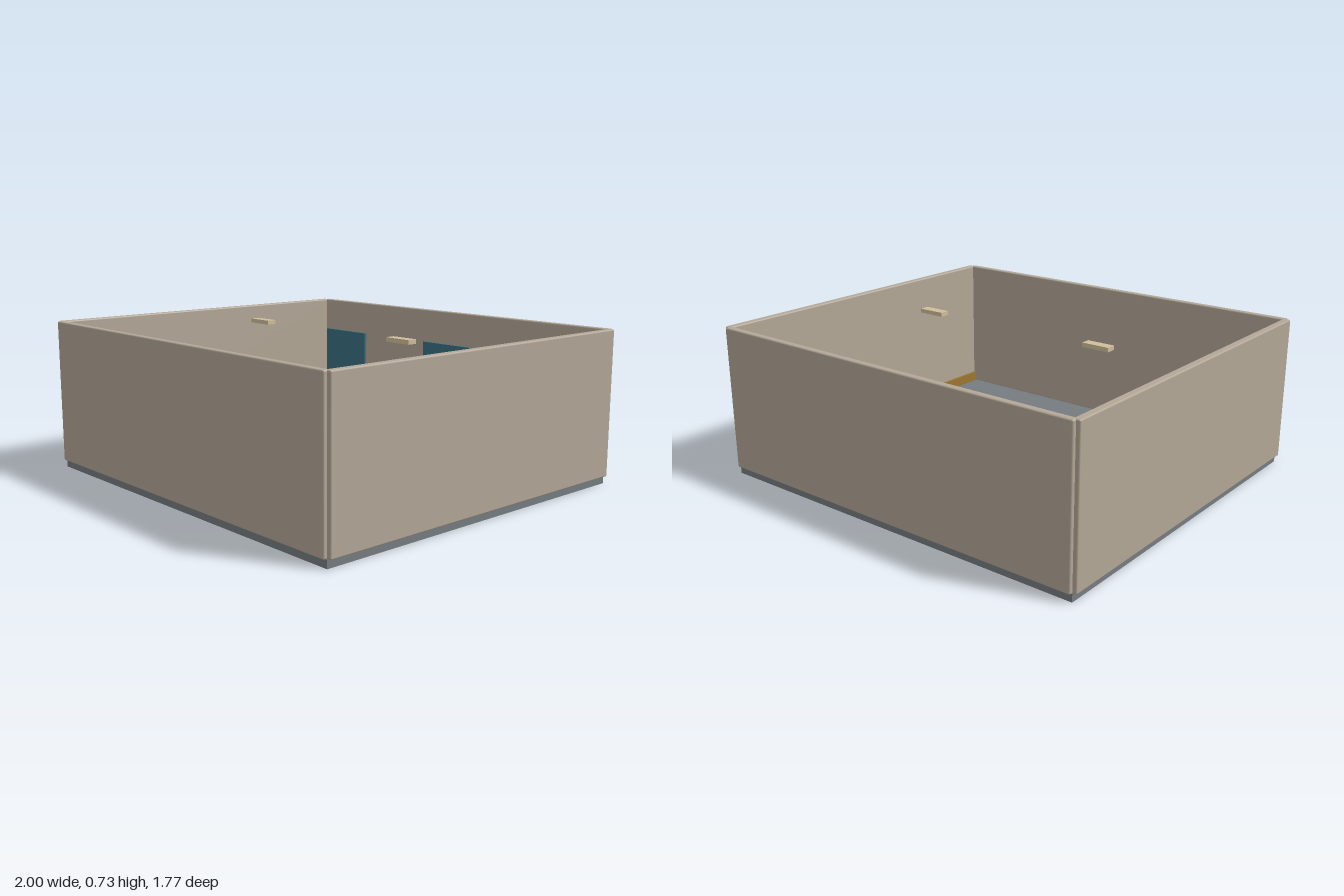
import * as THREE from 'three';
import { RoundedBoxGeometry } from 'three/addons/geometries/RoundedBoxGeometry.js';

const material = (color) => new THREE.MeshStandardMaterial({ color });
const wallMat = material(0xb3a797);
const floorMat = material(0x757c80);
const trimMat = material(0x9c7630);
const glassMat = material(0x3a7080);
const sofaMat = material(0xb63c32);
const creamMat = material(0xcfbe99);
const woodMat = material(0x7a4830);

// Box given by its min and max on each axis, with an optional bevel
function block(name, mat, [x0, x1], [y0, y1], [z0, z1], bevel = 0) {
  const size = [x1 - x0, y1 - y0, z1 - z0];
  const geometry = bevel
    ? new RoundedBoxGeometry(...size, 2, bevel)
    : new THREE.BoxGeometry(...size);
  const mesh = new THREE.Mesh(geometry, mat);
  mesh.name = name;
  mesh.position.set((x0 + x1) / 2, (y0 + y1) / 2, (z0 + z1) / 2);
  return mesh;
}

export function createModel() {
  const room = new THREE.Group();
  room.name = 'room';
  const floorY = 0.037;

  // Floor slab
  room.add(block('floor', floorMat, [-0.98, 0.98], [0, floorY], [-0.87, 0.87]));

  // Four walls that overlap at the corners
  const wallY = [floorY, 0.732];
  room.add(
    block('frontWall', wallMat, [-0.98, 0.98], wallY, [0.853, 0.887], 0.007),
    block('backWall', wallMat, [-0.98, 0.98], wallY, [-0.887, -0.853], 0.007),
    block('leftWall', wallMat, [0.963, 1], wallY, [-0.87, 0.87], 0.007),
    block('rightWall', wallMat, [-1, -0.963], wallY, [-0.87, 0.87], 0.007),
  );

  // Skirting boards on the back and side walls
  const trimY = [floorY, 0.088];
  room.add(
    block('backSkirting', trimMat, [-0.963, 0.963], trimY, [-0.855, -0.841]),
    block('leftSkirting', trimMat, [0.95, 0.965], trimY, [-0.855, 0.855]),
    block('rightSkirting', trimMat, [-0.965, -0.95], trimY, [-0.855, 0.855]),
  );

  // Windows on the back wall
  for (const x of [-0.785, 0]) {
    room.add(block('window', glassMat, [x - 0.163, x + 0.163], [0.252, 0.56], [-0.857, -0.839]));
  }

  // Sofa
  const sofa = new THREE.Group();
  sofa.name = 'sofa';
  sofa.add(
    block('sofaSeat', sofaMat, [-0.827, -0.136], [floorY, 0.195], [-0.25, -0.008], 0.008),
    block('sofaBack', sofaMat, [-0.827, -0.136], [floorY, 0.378], [-0.26, -0.2], 0.008),
  );
  room.add(sofa);

  // Low table and counter
  room.add(
    block('lowTable', woodMat, [-0.63, -0.156], [floorY, 0.157], [0.145, 0.38]),
    block('counter', creamMat, [0.153, 0.8], [floorY, 0.38], [-0.4, -0.17], 0.012),
  );

  // Ceiling lamps
  for (const x of [-0.488, 0.488]) {
    room.add(block('ceilingLamp', creamMat, [x - 0.069, x + 0.069], [0.697, 0.717], [-0.024, 0.024]));
  }
  return room;
}
